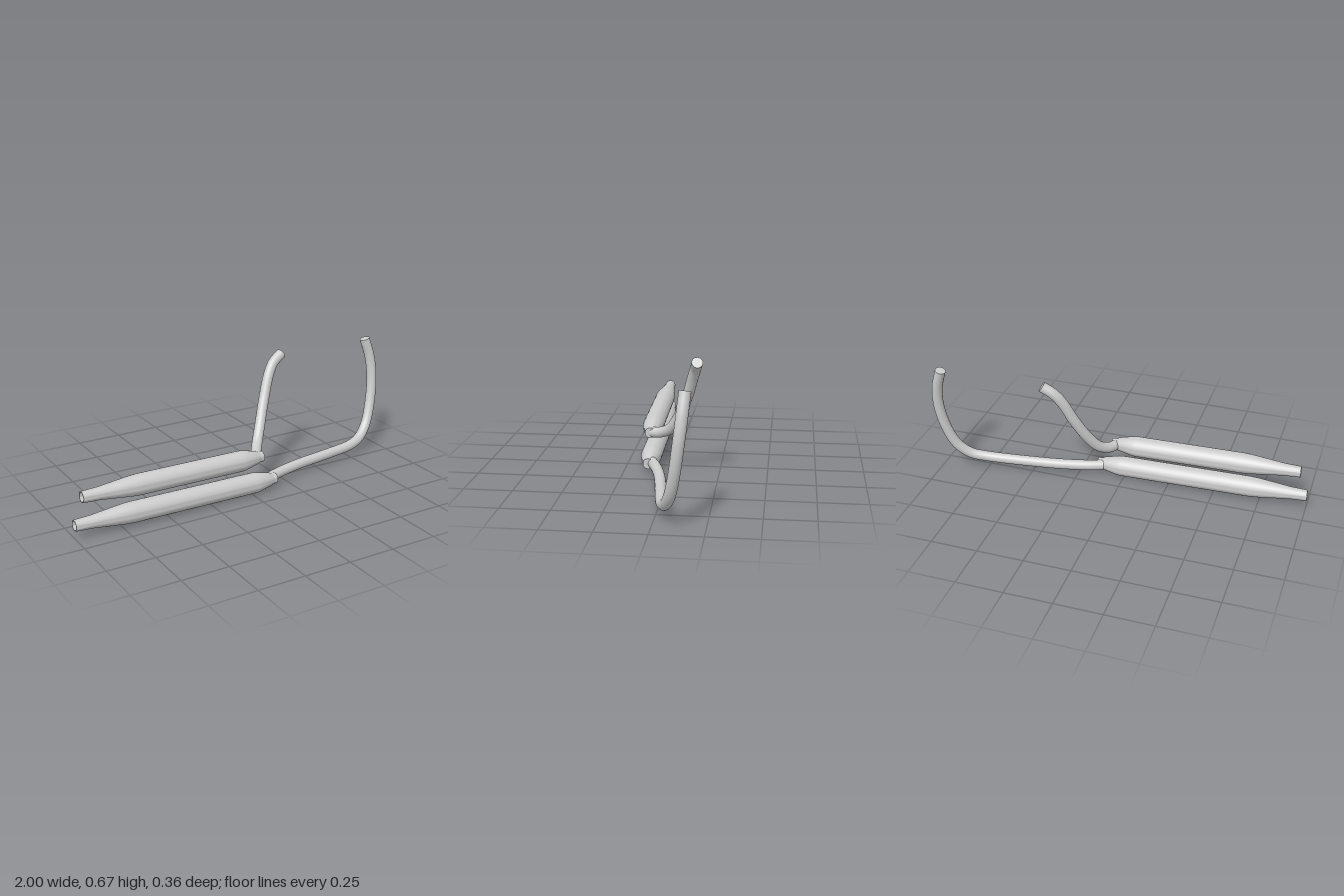
import * as THREE from 'three';
import { toCreasedNormals } from 'three/addons/utils/BufferGeometryUtils.js';

const V = (x, y, z) => new THREE.Vector3(x, y, z);

export function createModel() {
  const model = new THREE.Group();
  model.name = 'exhaustSystem';
  const steel = new THREE.MeshStandardMaterial({ color: 0xcccccc });
  steel.name = 'brushed steel';

  const add = (parent, name, geometry) => {
    const mesh = new THREE.Mesh(geometry, steel);
    mesh.name = name;
    parent.add(mesh);
    return mesh;
  };

  // Silencer: hollow tail, long barrel, cone and closed collar, turned about its axis
  function silencer(name, tail, nose) {
    const axis = nose.clone().sub(tail);
    const L = axis.length();
    const profile = [
      [0.024, 0.12], [0.024, 0], [0.029, 0], [0.033, 0.09], [0.043, 0.18],
      [0.052, 0.265], [0.0545, 0.31], [0.055, L - 0.135],
      [0.053, L - 0.115], [0.035, L - 0.035], [0.028, L - 0.022], [0.028, L], [0, L],
    ].map(([r, h]) => new THREE.Vector2(r, h));
    const geometry = toCreasedNormals(new THREE.LatheGeometry(profile, 40), 0.5);
    const mesh = add(model, name, geometry);
    mesh.position.copy(tail);
    mesh.quaternion.setFromUnitVectors(V(0, 1, 0), axis.normalize());
  }

  // Header pipe: bent tube closed by a disc at each end
  function headerPipe(name, points, radius) {
    const group = new THREE.Group();
    group.name = name;
    const curve = new THREE.CatmullRomCurve3(points.map((p) => V(...p)), false, 'centripetal');
    add(group, 'bentTube', new THREE.TubeGeometry(curve, 90, radius, 28));
    for (const t of [0, 1]) {
      const disc = add(group, t ? 'engineEnd' : 'silencerEnd', new THREE.CircleGeometry(radius, 28));
      disc.position.copy(curve.getPointAt(t));
      disc.quaternion.setFromUnitVectors(V(0, 0, 1), curve.getTangentAt(t).multiplyScalar(t ? 1 : -1));
    }
    model.add(group);
  }

  silencer('lowerSilencer', V(-1, 0.072, 0.131), V(0.155, 0.055, 0.118));
  silencer('upperSilencer', V(-0.955, 0.212, 0.131), V(0.07, 0.198, 0.118));

  headerPipe('lowerHeaderPipe', [
    [0.12, 0.055, 0.102], [0.2, 0.056, 0.072], [0.36, 0.058, 0.032], [0.6, 0.06, -0.005],
    [0.76, 0.067, -0.03], [0.84, 0.088, -0.055], [0.905, 0.15, -0.083], [0.948, 0.26, -0.108],
    [0.971, 0.41, -0.13], [0.962, 0.53, -0.144], [0.928, 0.643, -0.155],
  ], 0.028);
  headerPipe('upperHeaderPipe', [
    [0.045, 0.196, 0.115], [0.07, 0.205, 0.06], [0.11, 0.237, 0.007], [0.155, 0.31, -0.04],
    [0.21, 0.43, -0.09], [0.262, 0.55, -0.125], [0.3, 0.604, -0.142], [0.36, 0.645, -0.155],
  ], 0.028);

  return model;
}
